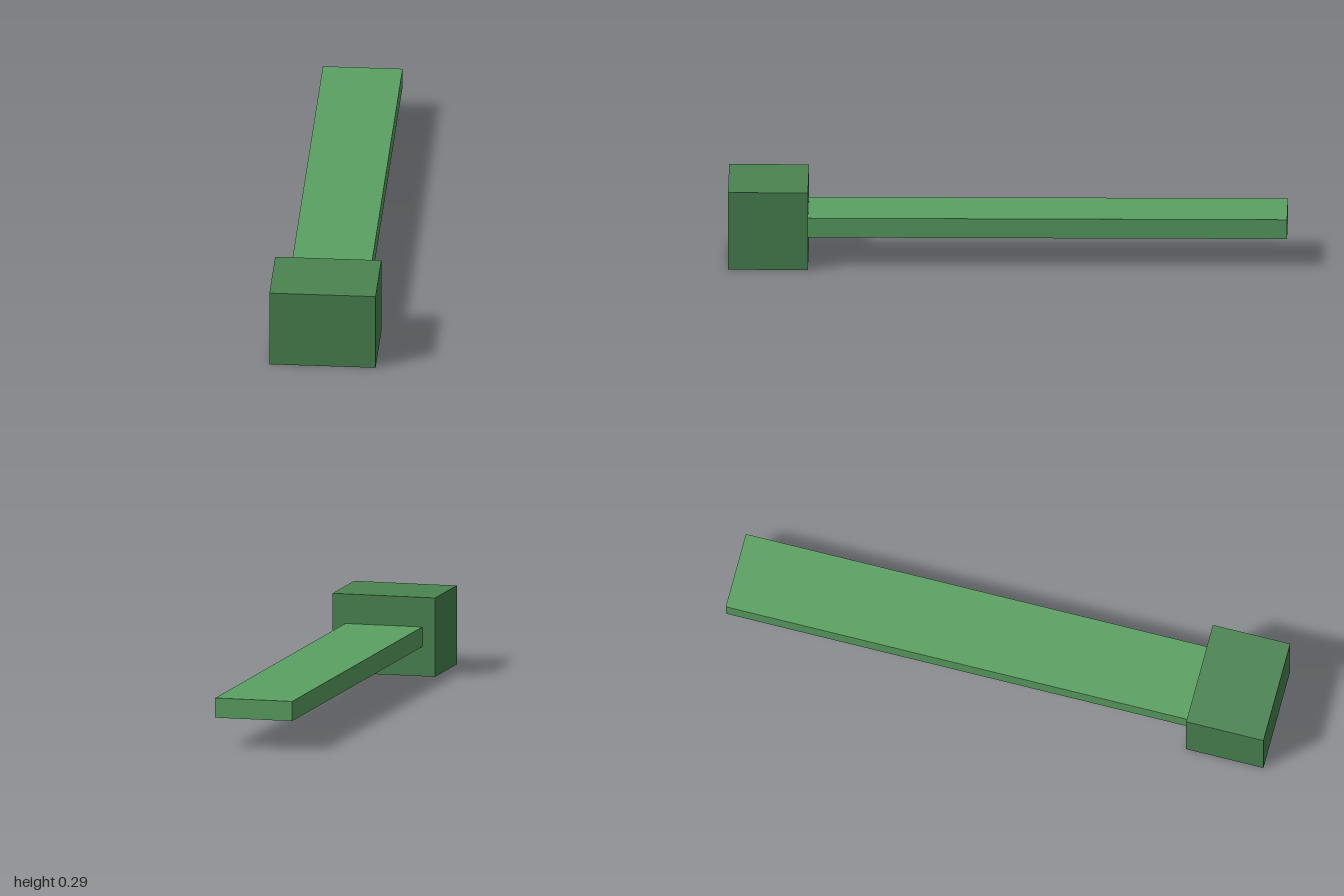
import * as THREE from 'three';

export function createModel() {
  const model = new THREE.Group();
  model.name = 'model';

  const lightGreen = new THREE.MeshStandardMaterial({ color: 0x5aa162 });
  lightGreen.name = 'light green';
  const darkGreen = new THREE.MeshStandardMaterial({ color: 0x4a8551 });
  darkGreen.name = 'dark green';

  // Box placed by its centre height and depth
  const addBox = (name, material, [w, h, d], y, z) => {
    const mesh = new THREE.Mesh(new THREE.BoxGeometry(w, h, d), material);
    mesh.name = name;
    mesh.position.set(0, y, z);
    model.add(mesh);
  };

  // End block at the front, with the flat plank butting against its back
  addBox('endBlock', darkGreen, [0.381, 0.286, 0.286], 0.143, 0.857);
  addBox('plank', lightGreen, [0.286, 0.0714, 1.714], 0.143, -0.143);

  return model;
}
